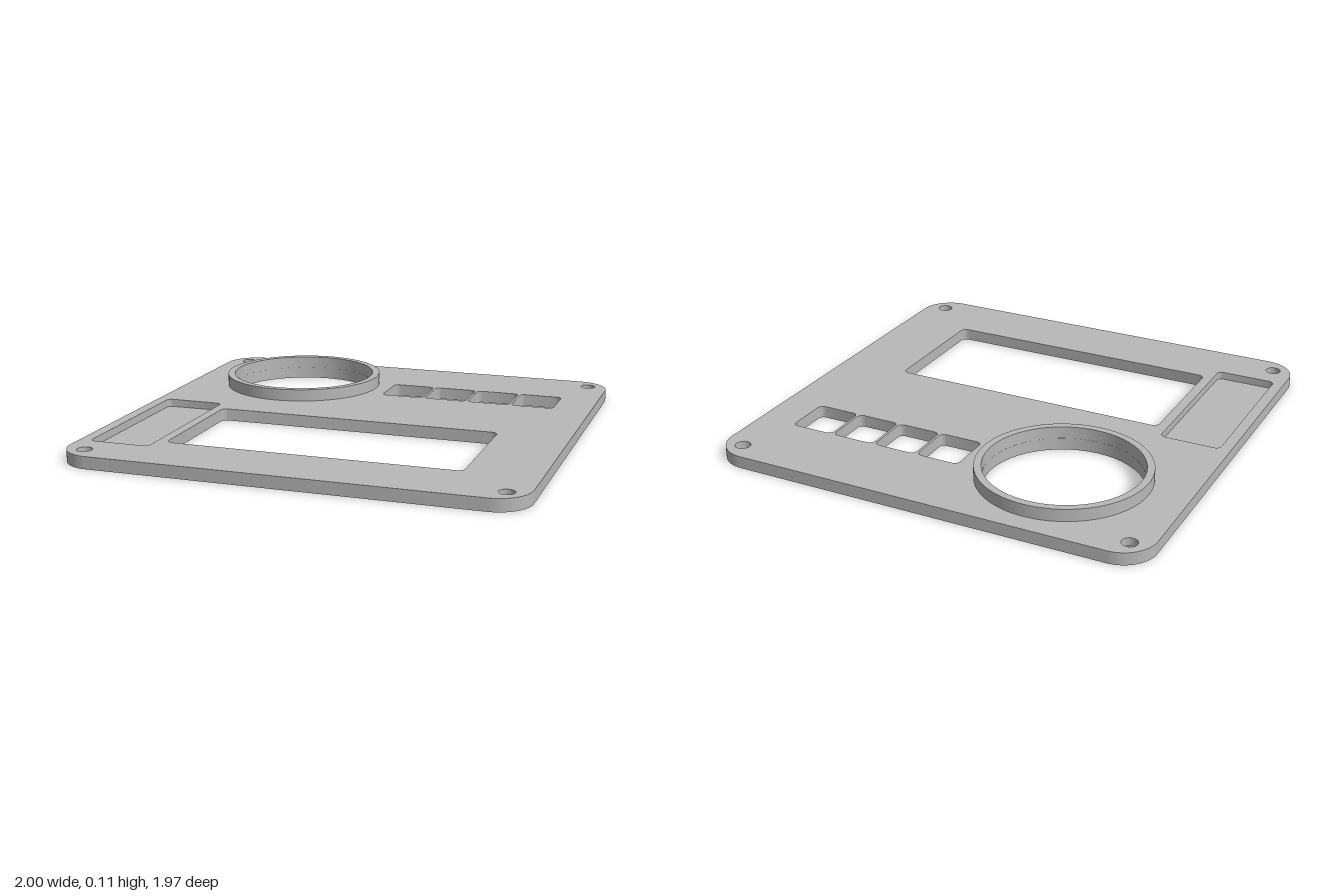
import * as THREE from 'three';
import { toCreasedNormals } from 'three/addons/utils/BufferGeometryUtils.js';

// Rounded rectangle between x0..x1 and z0..z1, drawn with shape y = -z
function roundedRect(path, x0, x1, z0, z1, r) {
  const b = -z1, t = -z0;
  path.moveTo(x0 + r, b);
  path.lineTo(x1 - r, b);
  path.absarc(x1 - r, b + r, r, -Math.PI / 2, 0);
  path.lineTo(x1, t - r);
  path.absarc(x1 - r, t - r, r, 0, Math.PI / 2);
  path.lineTo(x0 + r, t);
  path.absarc(x0 + r, t - r, r, Math.PI / 2, Math.PI);
  path.lineTo(x0, b + r);
  path.absarc(x0 + r, b + r, r, Math.PI, Math.PI * 1.5);
  return path;
}

function circle(path, x, z, r) {
  path.absarc(x, -z, r, 0, Math.PI * 2);
  return path;
}

// Extrude a shape upward from y0 to y1
function slab(name, shape, y0, y1, material, curveSegments) {
  const raw = new THREE.ExtrudeGeometry(shape, { depth: y1 - y0, bevelEnabled: false, curveSegments });
  raw.rotateX(-Math.PI / 2);
  raw.translate(0, y0, 0);
  const mesh = new THREE.Mesh(toCreasedNormals(raw, Math.PI / 6), material);
  mesh.name = name;
  return mesh;
}

export function createModel() {
  const grey = new THREE.MeshStandardMaterial({ color: 0xb8b8b8 });
  grey.name = 'grey plastic';

  const FLOOR = 0.02, TOP = 0.055, RIM = 0.11;
  const dial = { x: -0.455, z: -0.522, inner: 0.343, outer: 0.376 };

  // Panel outline with the openings that go right through
  function panelShape(screwRadius) {
    const shape = roundedRect(new THREE.Shape(), -1, 1, -0.987, 0.987, 0.15);
    shape.holes.push(circle(new THREE.Path(), dial.x, dial.z, dial.inner));
    shape.holes.push(roundedRect(new THREE.Path(), -0.63, 0.68, 0.082, 0.682, 0.03));
    for (let i = 0; i < 4; i++) {
      const x = -0.01 + i * 0.2115;
      shape.holes.push(roundedRect(new THREE.Path(), x, x + 0.2, -0.63, -0.412, 0.025));
    }
    for (const sx of [-1, 1]) for (const sz of [-1, 1]) {
      shape.holes.push(circle(new THREE.Path(), sx * 0.905, sz * 0.891, screwRadius));
    }
    return shape;
  }

  const group = new THREE.Group();
  group.name = 'controlPanel';

  // Lower layer: wide screw counterbores, and the floor of the pocket
  group.add(slab('panelBase', panelShape(0.058), 0, FLOOR, grey, 24));

  // Upper layer: narrow screw holes and the blind pocket
  const face = panelShape(0.034);
  face.holes.push(roundedRect(new THREE.Path(), -0.95, -0.675, -0.002, 0.763, 0.025));
  group.add(slab('panelFace', face, FLOOR, TOP, grey, 24));

  // Raised collar around the round opening
  const collar = circle(new THREE.Shape(), dial.x, dial.z, dial.outer);
  collar.holes.push(circle(new THREE.Path(), dial.x, dial.z, dial.inner));
  group.add(slab('dialCollar', collar, TOP, RIM, grey, 72));

  return group;
}
